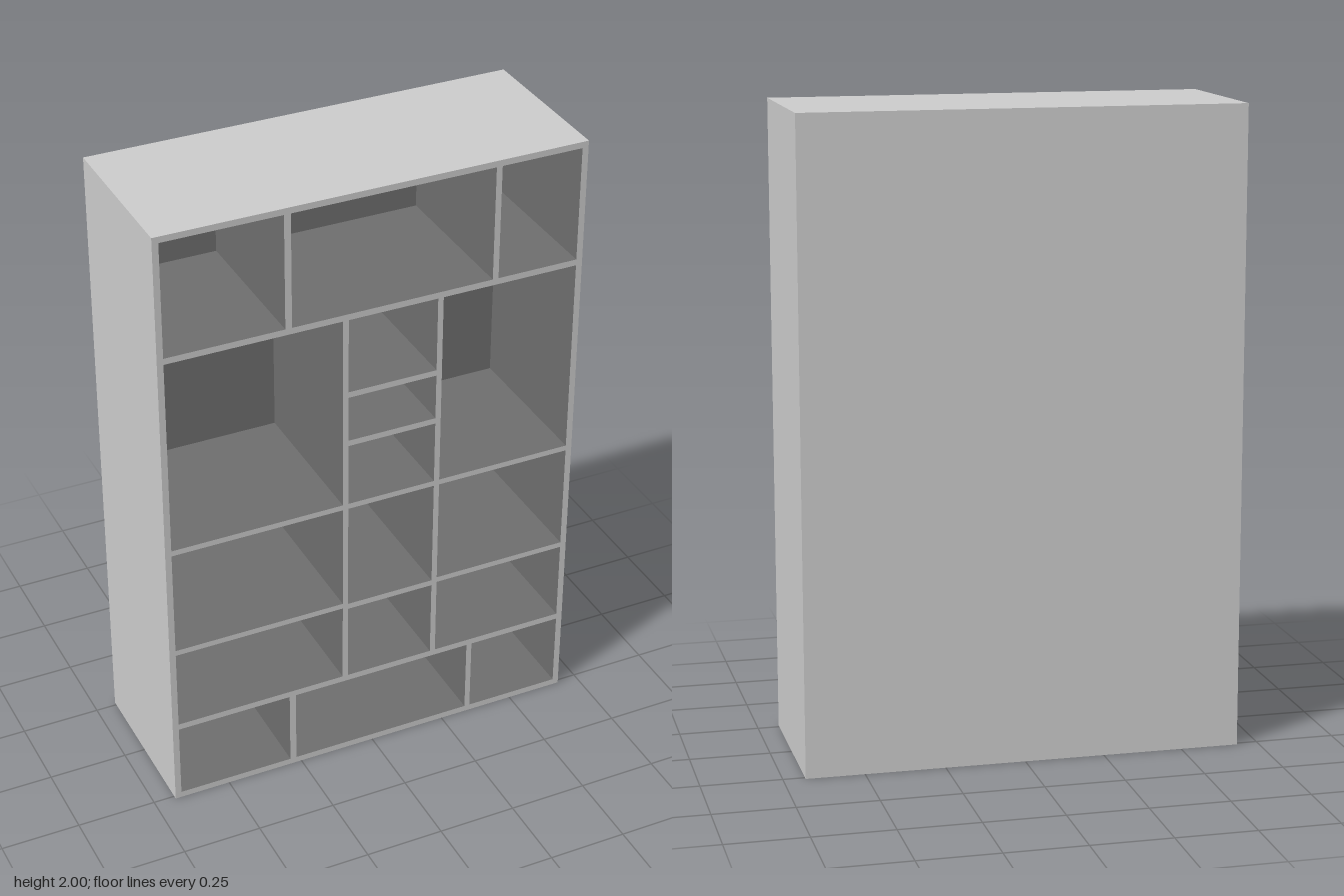
import * as THREE from 'three';

export function createModel() {
  const model = new THREE.Group();
  const shell = new THREE.MeshStandardMaterial({ name: 'light grey shell', color: 0xcccccc });
  const inner = new THREE.MeshStandardMaterial({ name: 'dark grey interior', color: 0x6e6e6e });

  const W = 0.682, H = 2, D = 0.262, T = 0.02; // half width, height, half depth, board
  const back = -D + T;

  // Board from its extents; faces listed in `light` (order +x -x +y -y +z -z) get the shell colour
  function board(name, x0, x1, y0, y1, z0, z1, light) {
    const geometry = new THREE.BoxGeometry(x1 - x0, y1 - y0, z1 - z0);
    const materials = [0, 1, 2, 3, 4, 5].map((i) => (light.includes(i) ? shell : inner));
    const mesh = new THREE.Mesh(geometry, materials);
    mesh.position.set((x0 + x1) / 2, (y0 + y1) / 2, (z0 + z1) / 2);
    mesh.name = name;
    model.add(mesh);
  }

  // Outer case
  const L = -W + T, R = W - T;
  board('leftSide', R, W, 0, H, -D, D, [0, 2, 3, 4, 5]);
  board('rightSide', -W, L, 0, H, -D, D, [1, 2, 3, 4, 5]);
  board('topPanel', L, R, H - T, H, -D, D, [2, 4, 5]);
  board('bottomPanel', L, R, 0, T, -D, D, [3, 4, 5]);
  board('backPanel', L, R, T, H - T, -D, back, [5]);

  // Two full-width shelves split the case into three bands
  const low = [0.271, 0.291], high = [1.59, 1.61];
  const shelf = (name, x0, x1, y0, y1) => board(name, x0, x1, y0, y1, back, D, [4]);
  shelf('lowerShelf', L, R, ...low);
  shelf('upperShelf', L, R, ...high);

  // Upright dividers
  const colA = [-0.105, -0.087], colB = [0.202, 0.22];
  [
    ['topDivider', -0.287, -0.266, high[1], H - T],
    ['topDivider', 0.381, 0.4, high[1], H - T],
    ['middleDivider', ...colA, low[1], high[0]],
    ['middleDivider', ...colB, low[1], high[0]],
    ['bottomDivider', -0.288, -0.267, T, low[0]],
    ['bottomDivider', 0.334, 0.352, T, low[0]],
  ].forEach((d) => shelf(...d));

  // Short shelves in the three middle columns
  const outer = [[0.928, 0.946], [0.558, 0.576]];
  const centre = [[1.325, 1.344], [1.155, 1.174], [0.928, 0.946], [0.551, 0.57]];
  outer.forEach((y) => {
    shelf('rightColumnShelf', L, colA[0], ...y);
    shelf('leftColumnShelf', colB[1], R, ...y);
  });
  centre.forEach((y) => shelf('centreShelf', colA[1], colB[0], ...y));

  return model;
}
